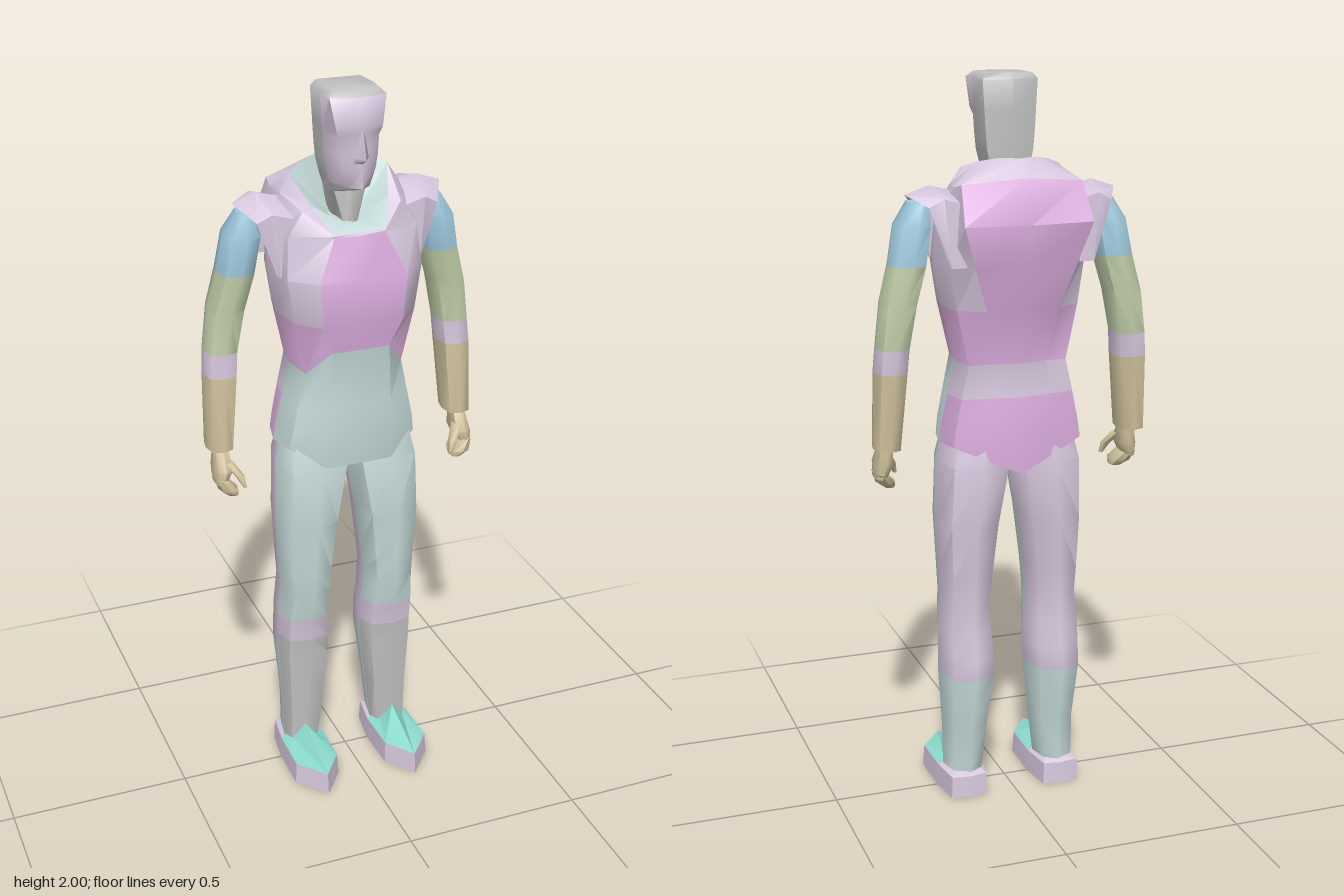
import * as THREE from 'three';
import { toCreasedNormals } from 'three/addons/utils/BufferGeometryUtils.js';

const mat = (name, color, extra = {}) =>
  Object.assign(new THREE.MeshStandardMaterial({ color }), { name, ...extra });
const lavender = mat('lavender', 0xd8c8de, { side: THREE.DoubleSide });
const pink = mat('pink', 0xdbaddd);
const paleTeal = mat('pale teal', 0xc6dcda);
const teal = mat('bright teal', 0x8cdccf);
const grey = mat('grey', 0xc2c2c2);
const blue = mat('blue', 0xa0cade);
const green = mat('soft green', 0xc1cfaa);
const tan = mat('tan', 0xd1c39e);

// Ring mirrored in x: points run from front centre to back centre as [x, z, optional y]
function sym(y, pts) {
  const half = pts.map(([x, z, py = y]) => [x, py, z]);
  return [...half, ...half.slice(1, -1).reverse().map(([x, py, z]) => [-x, py, z])];
}

// Eight-sided ring filling a box; its side corners sit at depth zs
function oval([y, x0, x1, z0, z1], zs = (z0 + z1) / 2) {
  return Array.from({ length: 8 }, (_, j) => {
    const s = Math.sin(j * Math.PI / 4), c = Math.cos(j * Math.PI / 4);
    const k = j % 2 ? 1.1 : 1;
    return [(x0 + x1) / 2 + s * k * (x1 - x0) / 2, y, zs + c * k * (c > 0 ? z1 - zs : zs - z0)];
  });
}

// Trunk ring from front panel width and depth, side width, back panel width and depth
const trunkRing = ([y, panel, front, side, back, rear, frontLift = 0, rearLift = 0]) => sym(y, [
  [0, front, y + frontLift], [panel, front - 0.004, y + frontLift], [side * 0.91, front * 0.53],
  [side, -0.03], [side * 0.91, -0.11], [back, rear + 0.015, y + rearLift / 2], [0, rear, y + rearLift],
]);

// Head ring from face depth, cheek width, side width and back depth
const headRing = ([y, face, cheek, side, rear]) => sym(y, [
  [0, face], [cheek, face - 0.023], [side, 0.033], [side * 0.94, -0.05], [0, rear],
]);

// Skin rings from bottom to top; pick(row, segment) gives a material,
// with segments counted from the front to the back on both halves
function loft(name, rings, pick, { side = 1, closed = true, crease = 1 } = {}) {
  const buckets = new Map();
  const tri = (m, a, b, c) => {
    if (!buckets.has(m)) buckets.set(m, []);
    for (const p of side > 0 ? [a, b, c] : [a, c, b]) buckets.get(m).push(p[0] * side, p[1], p[2]);
  };
  const n = rings[0].length, last = rings.length - 1;
  for (let i = 0; i < last; i++) {
    for (let j = 0; j < (closed ? n : n - 1); j++) {
      const k = (j + 1) % n, lo = rings[i], hi = rings[i + 1];
      const m = pick(i, Math.min(j, n - 1 - j));
      tri(m, lo[j], lo[k], hi[k]);
      tri(m, lo[j], hi[k], hi[j]);
    }
  }
  if (closed) {
    for (const end of [0, last]) {
      const r = rings[end], m = pick(end, 0, true);
      const mid = [0, 1, 2].map(a => r.reduce((s, p) => s + p[a], 0) / n);
      r.forEach((p, j) => {
        const q = r[(j + 1) % n];
        if (end) tri(m, p, q, mid);
        else tri(m, q, p, mid);
      });
    }
  }
  const geo = new THREE.BufferGeometry(), all = [], mats = [];
  for (const [m, list] of buckets) {
    geo.addGroup(all.length / 3, list.length / 3, mats.length);
    mats.push(m);
    for (const v of list) all.push(v);
  }
  geo.setAttribute('position', new THREE.Float32BufferAttribute(all, 3));
  const mesh = new THREE.Mesh(toCreasedNormals(geo, crease), mats);
  mesh.name = name;
  return mesh;
}

function torso() {
  // Hips, waist, ribs and chest
  const trunk = [
    [1.03, 0.1, 0.1, 0.198, 0.09, -0.145, -0.05, -0.08],
    [1.08, 0.1, 0.112, 0.19, 0.09, -0.145],
    [1.16, 0.09, 0.112, 0.172, 0.09, -0.135],
    [1.25, 0.08, 0.12, 0.15, 0.08, -0.125, 0.07],
    [1.4, 0.11, 0.14, 0.185, 0.1, -0.17],
    [1.52, 0.12, 0.14, 0.205, 0.14, -0.195],
    [1.63, 0.07, 0.11, 0.195, 0.175, -0.22],
  ].map(trunkRing);
  // Shoulders rising to a tall collar with a deep front
  const shoulders = sym(1.634, [[0, 0.107], [0.07, 0.107], [0.135, 0.05, 1.69], [0.165, -0.04, 1.72],
    [0.17, -0.1, 1.72], [0.165, -0.145, 1.73], [0, -0.18, 1.745]]);
  const collar = sym(1.638, [[0, 0.103], [0.07, 0.103], [0.108, 0.03, 1.7], [0.136, -0.047, 1.765],
    [0.1, -0.073, 1.78], [0.05, -0.102, 1.79], [0, -0.13, 1.79]]);
  const lining = collar.map(([x, , z]) => [x * 0.35, 1.65, z * 0.55]);
  return loft('torso', [...trunk, shoulders, collar, lining], (i, j, cap) => {
    if (i >= 8) return paleTeal;
    if (cap) return lavender;
    if (i < 3 && j < 3) return paleTeal;
    if (i === 2) return lavender;
    if (i < 4) return pink;
    if (i < 6) return j === 0 || j === 5 ? pink : lavender;
    return i === 6 && j === 5 ? pink : lavender;
  }, { crease: 0.7 });
}

function head() {
  const g = new THREE.Group();
  g.name = 'head';
  // Neck wedge narrowing down into the collar
  const neck = [[1.62, -0.015, 0.015, -0.11, 0.06], [1.73, -0.055, 0.055, -0.065, 0.045]].map(r => oval(r));
  const skull = [
    [1.755, 0.122, 0.028, 0.055, -0.064],
    [1.8, 0.121, 0.044, 0.067, -0.066],
    [1.84, 0.122, 0.05, 0.071, -0.067],
    [1.885, 0.118, 0.054, 0.074, -0.068],
    [1.905, 0.123, 0.062, 0.075, -0.068],
    [1.985, 0.113, 0.076, 0.08, -0.07],
    [2, 0.095, 0.06, 0.065, -0.05],
  ].map(headRing);
  g.add(loft('neckAndSkull', [...neck, ...skull],
    (i, j, cap) => (!cap && i > 1 && i < 7 && j < 2 ? lavender : grey)));
  const nose = [[1.82, 0.121, 0.018], [1.835, 0.146, 0.02], [1.905, 0.124, 0.008]]
    .map(([y, tip, w]) => sym(y, [[0, tip], [w, 0.112], [0, 0.09]]));
  g.add(loft('nose', nose, () => lavender));
  return g;
}

function leg(side) {
  const g = new THREE.Group();
  g.name = side > 0 ? 'leftLeg' : 'rightLeg';
  const rings = [
    [0.05, 0.085, 0.188, -0.092, 0.03], [0.2, 0.068, 0.19, -0.1, 0.04],
    [0.36, 0.052, 0.2, -0.138, 0.05], [0.42, 0.05, 0.2, -0.133, 0.055],
    [0.49, 0.055, 0.2, -0.12, 0.065], [0.58, 0.06, 0.19, -0.115, 0.09],
    [0.65, 0.052, 0.195, -0.12, 0.09], [0.8, 0.033, 0.203, -0.13, 0.103],
    [0.97, 0, 0.2, -0.14, 0.1], [1.05, 0.012, 0.18, -0.12, 0.08],
  ].map(r => oval(r, -0.01));
  g.add(loft('thighAndShin', rings, (i, j) => {
    if (j < 2) return i < 3 ? grey : i === 3 ? lavender : paleTeal;
    return i < 2 ? paleTeal : lavender;
  }, { side }));
  // Pointed shoe with a peaked instep
  const outline = [[0.135, 0.218], [0.205, 0.135], [0.203, 0], [0.19, -0.1],
    [0.135, -0.108], [0.085, -0.1], [0.07, 0], [0.073, 0.135]];
  const shoe = [
    outline.map(([x, z]) => [x, 0, z]),
    outline.map(([x, z]) => [0.137 + (x - 0.137) * 0.95, 0.062, z * 0.97]),
    oval([0.075, 0.09, 0.184, -0.085, 0.034], -0.01).map(([x, y, z], j) => [x, j ? y : 0.122, z]),
  ];
  g.add(loft('shoe', shoe, (i, j) => (i === 1 && j < 2 ? teal : lavender), { side, crease: 0.6 }));
  return g;
}

function arm(side) {
  const g = new THREE.Group();
  g.name = side > 0 ? 'leftArm' : 'rightArm';
  const limb = (name, list, pick) => g.add(loft(name, list.map(r => oval(r)), pick, { side }));
  // Forearm, elbow band, upper arm and shoulder
  const bands = [tan, lavender, green, green, blue, blue, blue];
  limb('sleeve', [
    [1.03, 0.312, 0.385, -0.1, 0.005], [1.24, 0.292, 0.382, -0.115, 0],
    [1.305, 0.287, 0.377, -0.12, -0.005], [1.42, 0.265, 0.364, -0.122, 0],
    [1.52, 0.238, 0.337, -0.122, 0.01], [1.62, 0.222, 0.318, -0.115, 0.018],
    [1.68, 0.225, 0.28, -0.09, 0],
  ], i => bands[i]);
  // Half-closed hand with curled fingers and thumb
  limb('palm', [[0.94, 0.345, 0.375, -0.05, 0.025], [0.98, 0.325, 0.377, -0.062, 0.03],
    [1.04, 0.328, 0.368, -0.06, -0.01]], () => tan);
  limb('fingers', [[0.908, 0.315, 0.345, -0.02, 0.03], [0.925, 0.315, 0.368, -0.04, 0.04],
    [0.955, 0.345, 0.377, -0.055, 0.03]], () => tan);
  limb('thumb', [[0.935, 0.298, 0.308, 0.03, 0.045], [0.965, 0.302, 0.325, 0.015, 0.042],
    [1, 0.325, 0.35, -0.02, 0.02]], () => tan);
  // Shoulder flap: arches over the arm, from the outer lip inwards
  const flap = [[0.2, 0.29, 1.7, 0.035], [0.195, 0.225, 1.722, 0.045], [0.15, 0.155, 1.705, 0.045]]
    .map(([foot, crown, top, z]) => {
      const x = foot * 0.45 + crown * 0.55;
      return [[foot, 1.52, z], [x, top - 0.035, z - 0.008], [crown, top, -0.055],
        [x, top - 0.025, -z - 0.105], [foot, 1.52, -z - 0.115]];
    });
  g.add(loft('shoulderFlap', flap, () => lavender, { side, closed: false }));
  return g;
}

export function createModel() {
  const model = new THREE.Group();
  model.name = 'standingFigure';
  model.add(torso(), head());
  for (const side of [1, -1]) model.add(leg(side), arm(side));
  return model;
}
